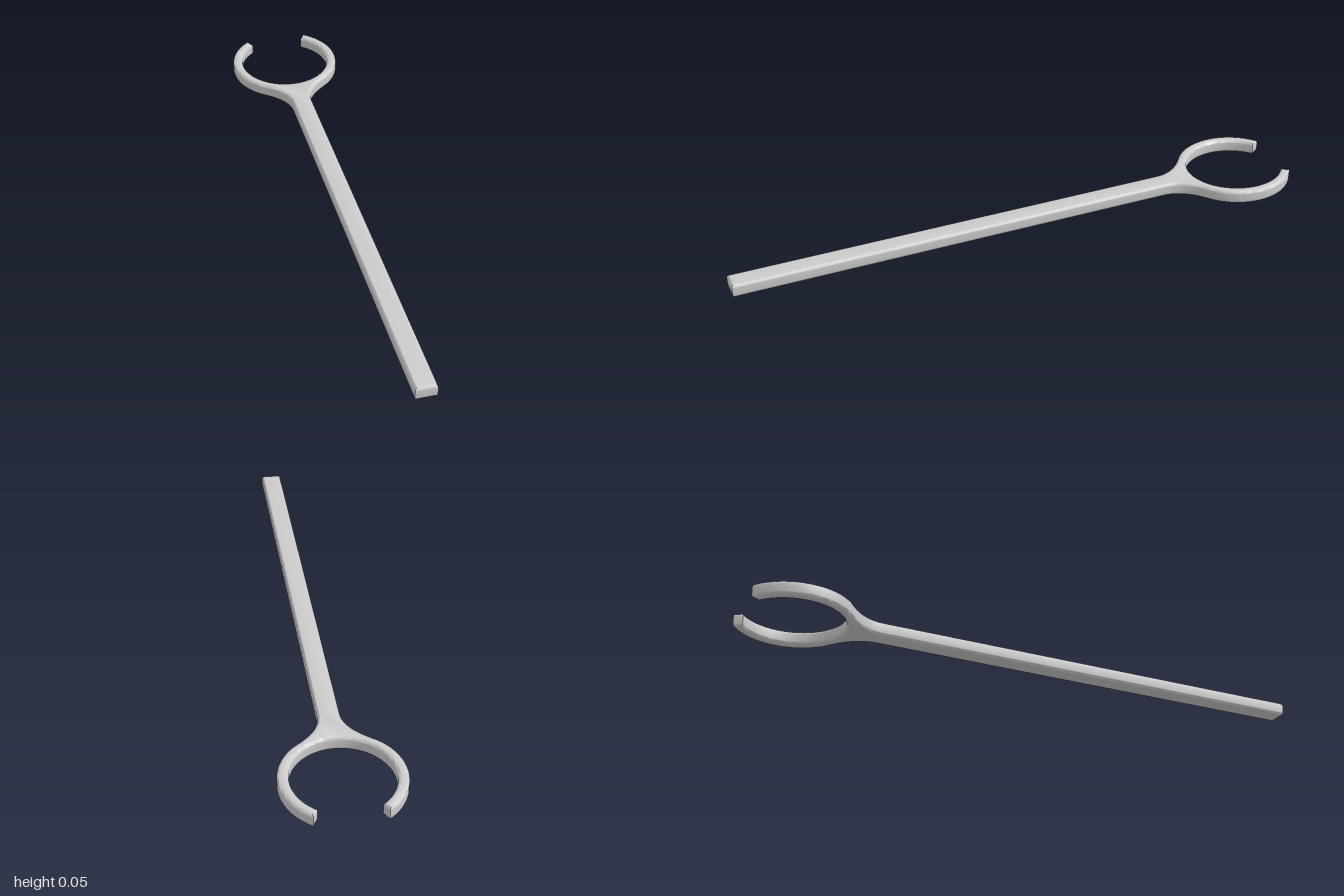
import * as THREE from 'three';
import { toCreasedNormals } from 'three/addons/utils/BufferGeometryUtils.js';

const HEIGHT = 0.048, BEVEL = 0.011;
const HANDLE_HALF = 0.035, RING_Y = 0.834;

// Point on an ellipse around the ring centre (plan: x across, y towards the back)
const ringPoint = (a, b, t) => new THREE.Vector2(a * Math.cos(t), RING_Y + b * Math.sin(t));

function arc(a, b, from, to, steps) {
  const pts = [];
  for (let i = 0; i <= steps; i++) pts.push(ringPoint(a, b, from + (to - from) * i / steps));
  return pts;
}

// Plan outline: one half is drawn, then mirrored
function outline() {
  const flareStart = new THREE.Vector2(HANDLE_HALF, 0.54);
  const flare = new THREE.QuadraticBezierCurve(
    flareStart, new THREE.Vector2(HANDLE_HALF, 0.612), ringPoint(0.195, 0.201, -0.933));
  const half = [
    new THREE.Vector2(HANDLE_HALF, -1),
    ...flare.getPoints(12).slice(0, -1),           // fillet from handle into ring
    ...arc(0.195, 0.201, -0.933, 0.967, 32),       // outside of the prong
    ...arc(0.16, 0.171, 0.935, -Math.PI / 2, 40),  // inside of the prong
  ];
  const mirrored = half.slice(0, -1).reverse().map(p => new THREE.Vector2(-p.x, p.y));
  return new THREE.Shape([...half, ...mirrored]);
}

export function createModel() {
  const group = new THREE.Group();
  group.name = 'openRingWand';

  // Handle and open ring in one piece with rounded edges
  let geometry = new THREE.ExtrudeGeometry(outline(), {
    depth: HEIGHT - 2 * BEVEL,
    bevelEnabled: true,
    bevelThickness: BEVEL,
    bevelSize: BEVEL,
    bevelOffset: -BEVEL,
    bevelSegments: 5,
  });
  geometry.translate(0, 0, BEVEL);
  geometry.rotateX(-Math.PI / 2);
  geometry = toCreasedNormals(geometry, 0.7);

  const body = new THREE.Mesh(geometry, new THREE.MeshStandardMaterial({ color: 0xcccccc }));
  body.name = 'handleAndRing';
  group.add(body);
  return group;
}
